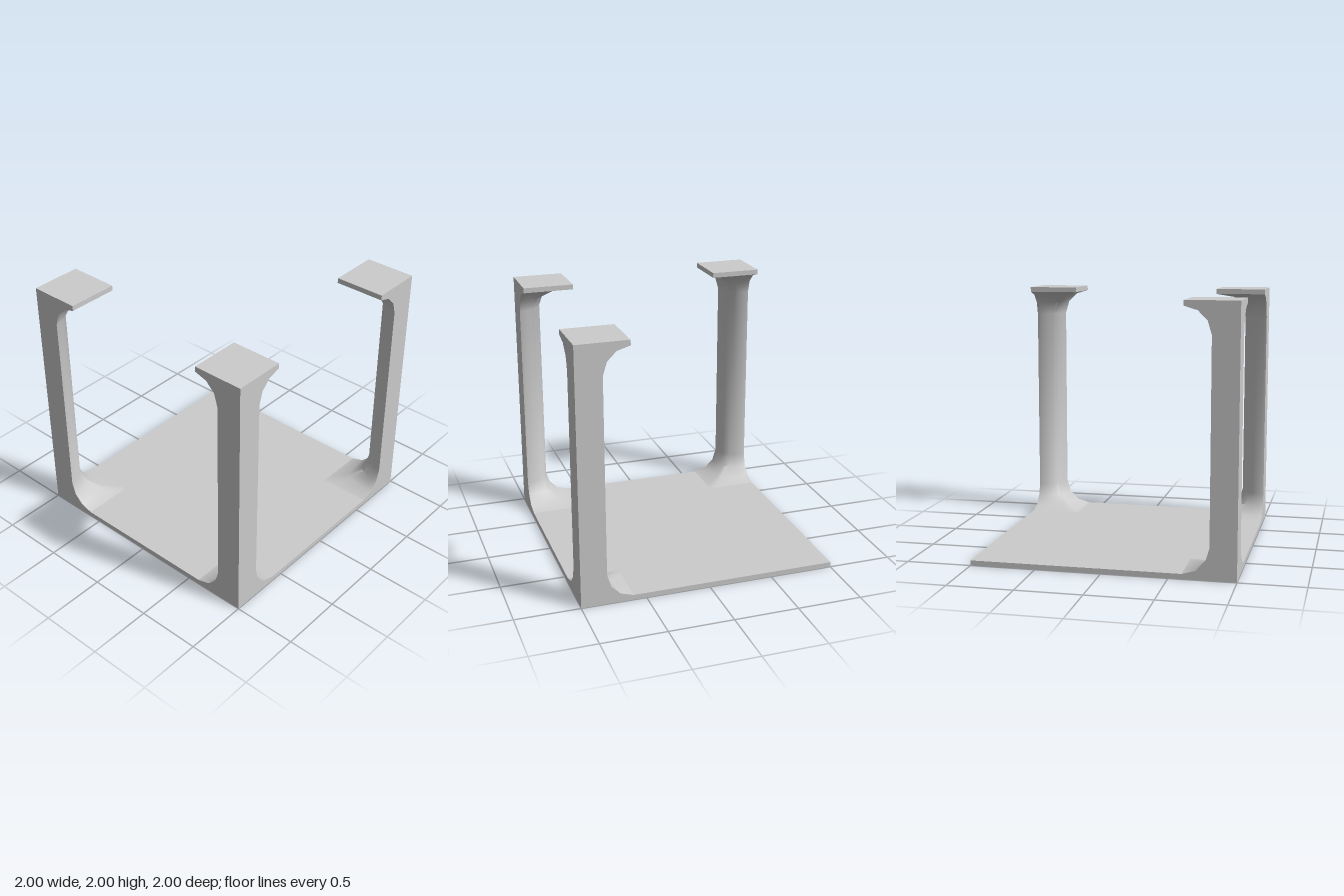
import * as THREE from 'three';
import { toCreasedNormals } from 'three/addons/utils/BufferGeometryUtils.js';

const SEG = 16;
// [blend from round shaft to square foot, height]
const FLARE = [[1, 0.04], [0.5, 0.07], [0.15, 0.14], [0, 0.24]];
const PROFILE = [...FLARE, ...FLARE.map(([w, y]) => [w, 2 - y]).reverse()];

// Quarter-round shaft on the corner (1, 1), flaring to a square at both ends
function columnGeometry() {
  const positions = [];
  const index = [];
  const row = SEG + 3;
  PROFILE.forEach(([w, y], r) => {
    positions.push(1, y, 1);
    for (let i = 0; i <= SEG; i++) {
      const a = (i / SEG) * Math.PI / 2;
      const c = Math.cos(a), s = Math.sin(a);
      const d = THREE.MathUtils.lerp(0.2, 0.4 / Math.max(c, s), w);
      positions.push(1 - d * c, y, 1 - d * s);
    }
    positions.push(1, y, 1);
    if (r === PROFILE.length - 1) return;
    for (let j = 0; j < row - 1; j++) {
      const a = r * row + j, b = a + 1, c = a + row, d = c + 1;
      index.push(a, c, b, b, c, d);
    }
  });
  const geometry = new THREE.BufferGeometry();
  geometry.setAttribute('position', new THREE.Float32BufferAttribute(positions, 3));
  geometry.setIndex(index);
  return toCreasedNormals(geometry, 0.6);
}

export function createModel() {
  const model = new THREE.Group();
  model.name = 'cornerPostStand';
  const material = new THREE.MeshStandardMaterial({ color: 0xcccccc });

  const add = (parent, name, geometry, x, y, z) => {
    const mesh = new THREE.Mesh(geometry, material);
    mesh.name = name;
    mesh.position.set(x, y, z);
    parent.add(mesh);
  };

  // Floor plate
  add(model, 'basePlate', new THREE.BoxGeometry(2, 0.04, 2), 0, 0.02, 0);

  // Three corner posts; the back left corner stays open
  const column = columnGeometry();
  const cap = new THREE.BoxGeometry(0.4, 0.04, 0.4);
  ['frontLeftPost', 'frontRightPost', 'backRightPost'].forEach((name, i) => {
    const post = new THREE.Group();
    post.name = name;
    add(post, 'column', column, 0, 0, 0);
    add(post, 'capPlate', cap, 0.8, 1.98, 0.8);
    post.rotation.y = -i * Math.PI / 2;
    model.add(post);
  });
  return model;
}
